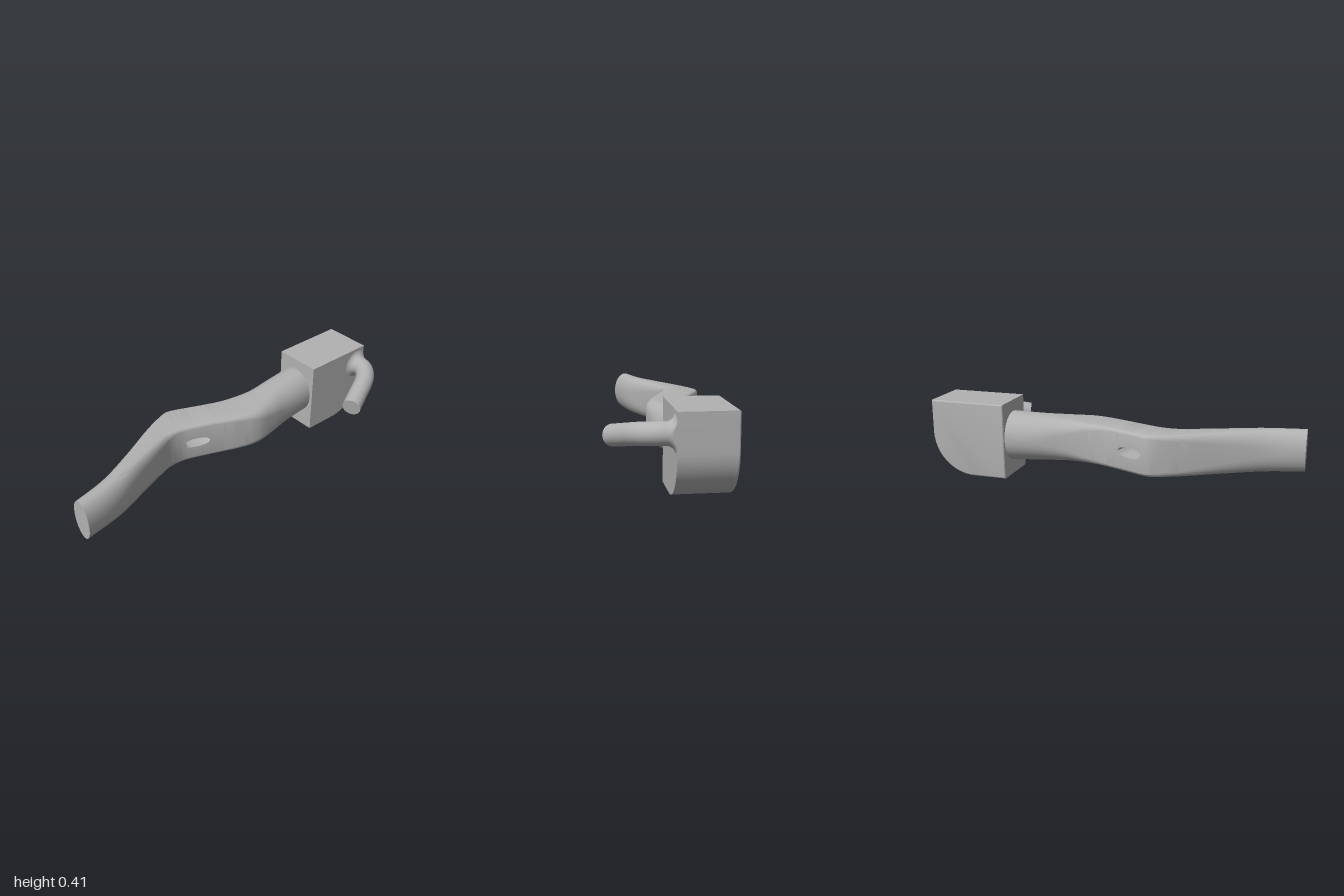
import * as THREE from 'three';
import { toCreasedNormals } from 'three/addons/utils/BufferGeometryUtils.js';

const V = (x, y, z) => new THREE.Vector3(x, y, z);
const grey = new THREE.MeshStandardMaterial({ color: 0xb2b2b2 });
grey.name = 'plain grey';

// Stations along the arm: back x, back z, front x, front z, half height, corner roundness
const STATIONS = [
  [-1, -0.028, -1, 0.107, 0.114, 1],
  [-0.82, -0.07, -0.78, 0.058, 0.114, 0.85],
  [-0.625, -0.15, -0.565, -0.033, 0.113, 0.6],
  [-0.44, -0.24, -0.385, -0.105, 0.111, 0.35],
  [-0.32, -0.291, -0.355, -0.113, 0.11, 0.25],
  [-0.245, -0.311, -0.315, -0.116, 0.11, 0.2],
  [-0.2, -0.3, -0.27, -0.111, 0.11, 0.2],
  [-0.06, -0.242, -0.13, -0.062, 0.11, 0.2],
  [0.06, -0.203, 0.02, 0, 0.11, 0.25],
  [0.15, -0.196, 0.13, 0.036, 0.112, 0.4],
  [0.25, -0.202, 0.25, 0.033, 0.117, 0.65],
  [0.4, -0.232, 0.4, 0.012, 0.127, 0.9],
  [0.6, -0.257, 0.6, -0.01, 0.138, 1],
];
const HOLE_START = 6; // the slot runs from this station to the next
const ARM_Y = 0.216;

// Upper half of a rounded section, front to back; the lower half is the same turned by 180 degrees
function halfSection(r, h) {
  const pts = [[1, h]], n = 7;
  for (let i = 0; i <= 2 * n + 1; i++) {
    const right = i <= n;
    const a = (Math.PI / 2) * (right ? i : i - 1) / n;
    pts.push([(right ? 1 - r : r - 1) + r * Math.cos(a), 1 - r + r * Math.sin(a)]);
  }
  pts.push([-1, h]);
  return pts;
}

// Bent arm lofted as two halves that part around the slot
function armGeometry() {
  const back = new THREE.CatmullRomCurve3(STATIONS.map(s => V(s[0], s[4], s[1])));
  const front = new THREE.CatmullRomCurve3(STATIONS.map(s => V(s[2], s[5], s[3])));
  const spans = STATIONS.length - 1, steps = spans * 12;
  const pos = [];
  const tri = (...p) => p.forEach(v => pos.push(v.x, v.y, v.z));
  for (const side of [1, -1]) {
    const rings = [], open = [];
    for (let i = 0; i <= steps; i++) {
      const b = back.getPoint(i / steps), f = front.getPoint(i / steps);
      const s = 2 * (i / 12 - HOLE_START) - 1;
      const h = Math.abs(s) < 0.999 ? 0.027 * Math.sqrt(1 - s * s) : 0;
      open.push(h > 0);
      rings.push(halfSection(Math.min(f.y, 0.99), h / b.y).map(([u, v]) => {
        const k = (1 + u * side) / 2;
        return V(b.x + (f.x - b.x) * k, ARM_Y + v * side * b.y, b.z + (f.z - b.z) * k);
      }));
    }
    const n = rings[0].length;
    for (let i = 0; i < steps; i++) {
      for (let j = 0; j < n; j++) {
        if (j === n - 1 && !open[i] && !open[i + 1]) continue; // slot wall only at the slot
        const k = (j + 1) % n, p = rings[i], q = rings[i + 1];
        tri(p[j], q[j], p[k]);
        tri(q[j], q[k], p[k]);
      }
    }
    // flat free end
    for (let j = 1; j < n - 1; j++) tri(rings[0][0], rings[0][j], rings[0][j + 1]);
  }
  const g = new THREE.BufferGeometry();
  g.setAttribute('position', new THREE.Float32BufferAttribute(pos, 3));
  return toCreasedNormals(g, 0.7);
}

// Block outline with one large rounded lower corner
function blockShape(inset = 0) {
  const s = new THREE.Shape(), R = 0.235, a = inset;
  s.moveTo(0.575 + a, a);
  s.lineTo(1 - R, a);
  s.absarc(1 - R, R, R - a, -Math.PI / 2, 0, false);
  s.lineTo(1 - a, 0.415 - a);
  s.lineTo(0.575 + a, 0.415 - a);
  s.closePath();
  return s;
}

export function createModel() {
  const model = new THREE.Group();
  const add = (name, geometry, parent = model) => {
    const m = new THREE.Mesh(geometry, grey);
    m.name = name;
    parent.add(m);
    return m;
  };

  add('arm', armGeometry());

  // End block, with a softened rear edge
  const block = new THREE.Group();
  block.name = 'endBlock';
  model.add(block);
  const body = new THREE.ExtrudeGeometry(blockShape(), { depth: 0.267, bevelEnabled: false, curveSegments: 32 });
  add('blockBody', toCreasedNormals(body.translate(0, 0, -0.257), 0.5), block);
  const rim = new THREE.ExtrudeGeometry(blockShape(0.008), {
    depth: 0.01, bevelThickness: 0.008, bevelSize: 0.008, bevelSegments: 4, curveSegments: 32,
  });
  add('blockRearEdge', toCreasedNormals(rim.translate(0, 0, -0.257), 0.5), block);

  // Bent peg on the front of the block
  const peg = new THREE.Group();
  peg.name = 'peg';
  model.add(peg);
  const path = new THREE.CatmullRomCurve3([
    V(0.943, 0.312, -0.02), V(0.943, 0.312, 0.03), V(0.93, 0.311, 0.083), V(0.895, 0.304, 0.128),
    V(0.845, 0.294, 0.163), V(0.75, 0.273, 0.207), V(0.645, 0.25, 0.256),
  ]);
  add('pegRod', new THREE.TubeGeometry(path, 64, 0.053, 32), peg);
  const end = add('pegEnd', new THREE.CircleGeometry(0.053, 32), peg);
  end.position.copy(path.getPoint(1));
  end.lookAt(path.getPoint(1).add(path.getTangent(1)));

  // Flared foot of the peg, trimmed flush with the block side
  const profile = [];
  for (let i = 0; i <= 8; i++) {
    const a = (Math.PI / 2) * i / 8;
    profile.push(new THREE.Vector2(0.095 - 0.043 * Math.sin(a), 0.045 * (1 - Math.cos(a))));
  }
  const foot = new THREE.LatheGeometry(profile, 48).rotateX(Math.PI / 2).translate(0.943, 0.312, 0.009);
  const p = foot.attributes.position;
  for (let i = 0; i < p.count; i++) p.setX(i, Math.min(p.getX(i), 0.999));
  foot.computeVertexNormals();
  add('pegFoot', foot, peg);

  return model;
}
